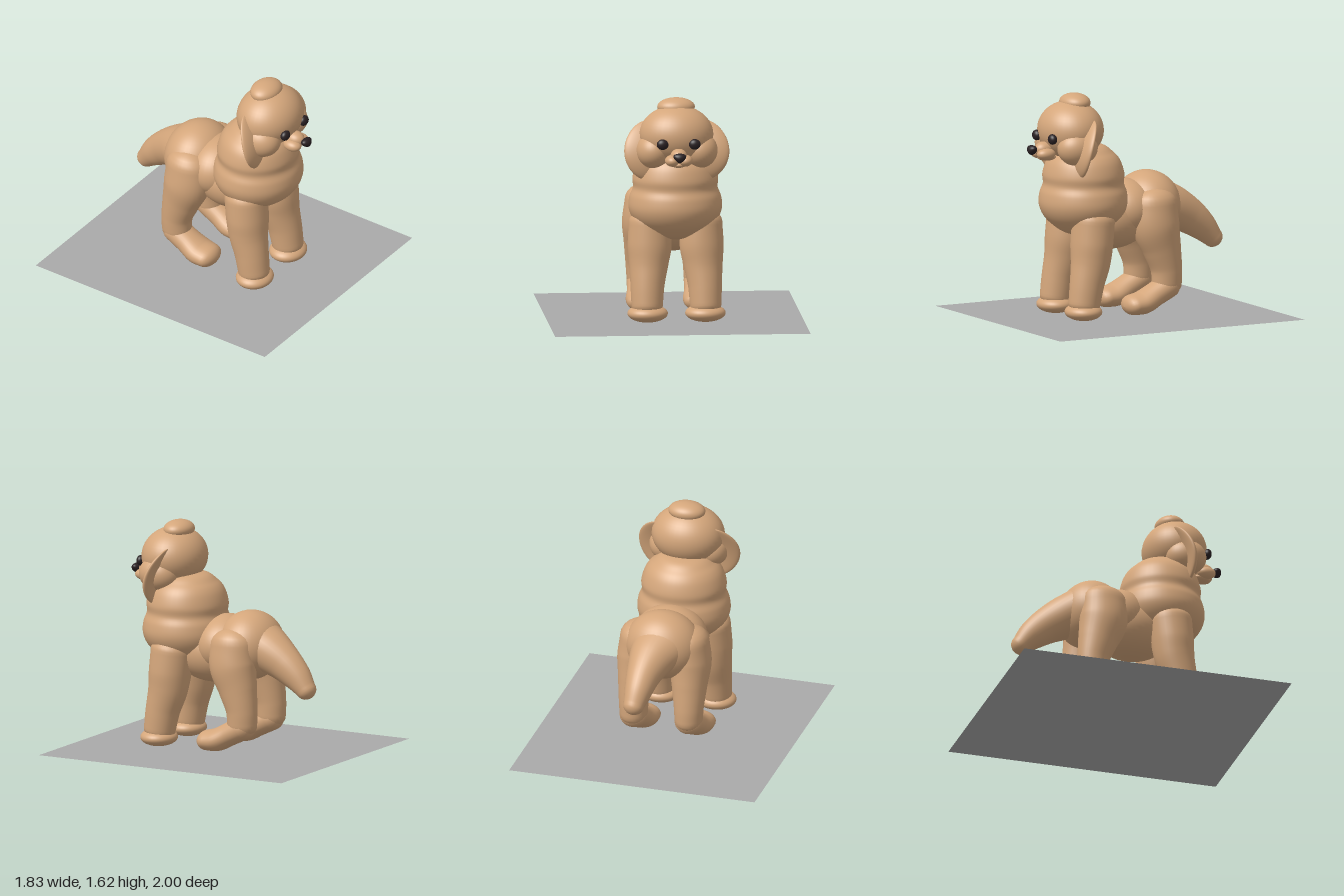
import * as THREE from 'three';
import { mergeVertices } from 'three/addons/utils/BufferGeometryUtils.js';

export function createModel() {
  const dog = new THREE.Group();
  dog.name = 'dog';
  const fur = new THREE.MeshStandardMaterial({ color: 0xd4a67b });
  fur.name = 'tan fur';
  const dark = new THREE.MeshStandardMaterial({ color: 0x2a2123 });
  dark.name = 'dark eyes and nose';
  const grey = new THREE.MeshStandardMaterial({ color: 0xaaaaaa, side: THREE.DoubleSide });
  grey.name = 'grey base';

  const add = (name, geometry, material = fur) => {
    const mesh = new THREE.Mesh(geometry, material);
    mesh.name = name;
    dog.add(mesh);
    return mesh;
  };

  // Weld seams so that the shading is smooth all round
  const smooth = (geometry) => {
    geometry.deleteAttribute('uv');
    geometry.deleteAttribute('normal');
    const welded = mergeVertices(geometry, 1e-5);
    welded.computeVertexNormals();
    return welded;
  };

  // Ellipsoid, optionally reshaped by a rule on its vertices
  const blob = (name, [x, y, z], [rx, ry, rz], material = fur, rule) => {
    const g = new THREE.SphereGeometry(1, 40, 28).scale(rx, ry, rz);
    if (rule) {
      const p = g.attributes.position;
      const v = new THREE.Vector3();
      for (let i = 0; i < p.count; i++) {
        rule(v.fromBufferAttribute(p, i));
        p.setXYZ(i, v.x, v.y, v.z);
      }
    }
    return add(name, smooth(g.translate(x, y, z)), material);
  };

  // Limb through stations [x, y, z, half width, half depth], with rounded ends
  const limb = (name, stations, cap = 0.8) => {
    const curve = new THREE.CatmullRomCurve3(stations.map((s) => new THREE.Vector3(s[0], s[1], s[2])));
    const sizes = new THREE.CatmullRomCurve3(stations.map((s) => new THREE.Vector3(s[3], s[4], 0)));
    const rings = [];
    const steps = 28, sides = 32, capSteps = 6;
    const station = (t, shift, k) => {
      const tangent = curve.getTangent(t);
      const centre = curve.getPoint(t).addScaledVector(tangent, shift);
      const size = sizes.getPoint(t);
      rings.push({ centre, tangent, a: size.x * k, b: size.y * k });
    };
    const capReach = (t) => Math.min(sizes.getPoint(t).x, sizes.getPoint(t).y) * cap;
    for (let i = 0; i < capSteps; i++) {
      const w = (i / capSteps) * Math.PI / 2;
      station(0, -capReach(0) * Math.cos(w), Math.max(Math.sin(w), 0.001));
    }
    for (let i = 0; i <= steps; i++) station(i / steps, 0, 1);
    for (let i = 1; i <= capSteps; i++) {
      const w = (i / capSteps) * Math.PI / 2;
      station(1, capReach(1) * Math.sin(w), Math.max(Math.cos(w), 0.001));
    }
    const positions = [], index = [];
    rings.forEach(({ centre, tangent, a, b }, r) => {
      const u = new THREE.Vector3(1, 0, 0).addScaledVector(tangent, -tangent.x).normalize();
      const v = new THREE.Vector3().crossVectors(tangent, u);
      for (let s = 0; s < sides; s++) {
        const w = (s / sides) * Math.PI * 2;
        const q = centre.clone().addScaledVector(u, a * Math.cos(w)).addScaledVector(v, b * Math.sin(w));
        positions.push(q.x, q.y, q.z);
        if (r === rings.length - 1) continue;
        const i = r * sides + s, j = r * sides + (s + 1) % sides;
        index.push(i, j, i + sides, j, j + sides, i + sides);
      }
    });
    const g = new THREE.BufferGeometry();
    g.setAttribute('position', new THREE.Float32BufferAttribute(positions, 3));
    g.setIndex(index);
    g.computeVertexNormals();
    return add(name, g);
  };

  // Square base sheet
  add('base', new THREE.PlaneGeometry(1.83, 2).rotateX(-Math.PI / 2), grey);

  // Two-tiered fluffy chest and neck
  const profile = [
    [0.001, 0.58], [0.14, 0.615], [0.235, 0.68], [0.29, 0.745], [0.316, 0.82], [0.309, 0.9],
    [0.286, 0.965], [0.29, 1.03], [0.273, 1.1], [0.248, 1.15], [0.21, 1.19], [0.14, 1.24], [0.001, 1.26],
  ].map(([r, y]) => new THREE.Vector2(r, y));
  const chest = new THREE.LatheGeometry(new THREE.SplineCurve(profile).getPoints(60), 48);
  add('chest', smooth(chest.scale(1.06, 1, 1).translate(0, 0, 0.3)));

  // Belly, waist and rump
  blob('belly', [0, 0.7, 0.08], [0.24, 0.225, 0.3]);
  blob('waist', [0, 0.76, -0.03], [0.265, 0.215, 0.22]);
  blob('rump', [0, 0.77, -0.22], [0.275, 0.25, 0.235]);

  // Tail, swept slightly to the left
  limb('tail', [
    [0, 0.79, -0.3, 0.21, 0.17], [0.03, 0.735, -0.42, 0.165, 0.155], [0.05, 0.665, -0.54, 0.125, 0.13],
    [0.06, 0.585, -0.64, 0.1, 0.105], [0.07, 0.5, -0.72, 0.075, 0.073],
  ], 0.9);

  // Head, topknot and muzzle
  blob('head', [0, 1.36, 0.405], [0.265, 0.21, 0.23]);
  blob('topknot', [0, 1.555, 0.37], [0.135, 0.067, 0.105]);
  blob('muzzleBridge', [0, 1.235, 0.62], [0.06, 0.055, 0.075]);
  blob('chin', [0, 1.175, 0.6], [0.055, 0.025, 0.07]);

  // Nose, narrowing towards the bottom
  blob('nose', [0, 1.235, 0.72], [0.042, 0.035, 0.034], dark, (v) => { v.x *= 1 + 14 * v.y; });

  for (const side of [1, -1]) {
    const label = side > 0 ? 'left' : 'right';

    // Face
    blob(label + 'Cheek', [side * 0.165, 1.25, 0.44], [0.128, 0.128, 0.15]);
    blob(label + 'MuzzleLobe', [side * 0.047, 1.205, 0.63], [0.052, 0.042, 0.07]);
    blob(label + 'Eye', [side * 0.115, 1.32, 0.617], [0.042, 0.038, 0.031], dark);

    // Hanging ear flap, bowed forward below its root
    blob(label + 'Ear', [side * 0.235, 1.245, 0.44], [0.122, 0.205, 0.034], fur, (v) => {
      v.z += -0.27 * v.y - 1.15 * v.y * v.y;
      v.x += side * (0.02 - 0.9 * v.y * v.y);
    });

    // Front leg and paw
    limb(label + 'FrontLeg', [
      [side * 0.185, 0.72, 0.32, 0.15, 0.155], [side * 0.186, 0.56, 0.335, 0.158, 0.153],
      [side * 0.195, 0.42, 0.35, 0.142, 0.143], [side * 0.206, 0.27, 0.385, 0.122, 0.125],
      [side * 0.21, 0.12, 0.41, 0.112, 0.115],
    ], 0.6);
    blob(label + 'FrontPaw', [side * 0.207, 0.07, 0.415], [0.145, 0.064, 0.132]);

    // Hind leg, hock and long foot
    limb(label + 'HindLeg', [
      [side * 0.19, 0.8, -0.18, 0.135, 0.165], [side * 0.192, 0.65, -0.185, 0.152, 0.175],
      [side * 0.2, 0.48, -0.23, 0.128, 0.143], [side * 0.205, 0.33, -0.265, 0.108, 0.115],
      [side * 0.205, 0.22, -0.268, 0.1, 0.11],
    ], 0.85);
    limb(label + 'HindFoot', [
      [side * 0.205, 0.205, -0.275, 0.1, 0.09], [side * 0.205, 0.15, -0.17, 0.105, 0.085],
      [side * 0.205, 0.1, -0.07, 0.122, 0.083], [side * 0.205, 0.088, 0.01, 0.118, 0.074],
    ], 0.95);
  }

  return dog;
}
